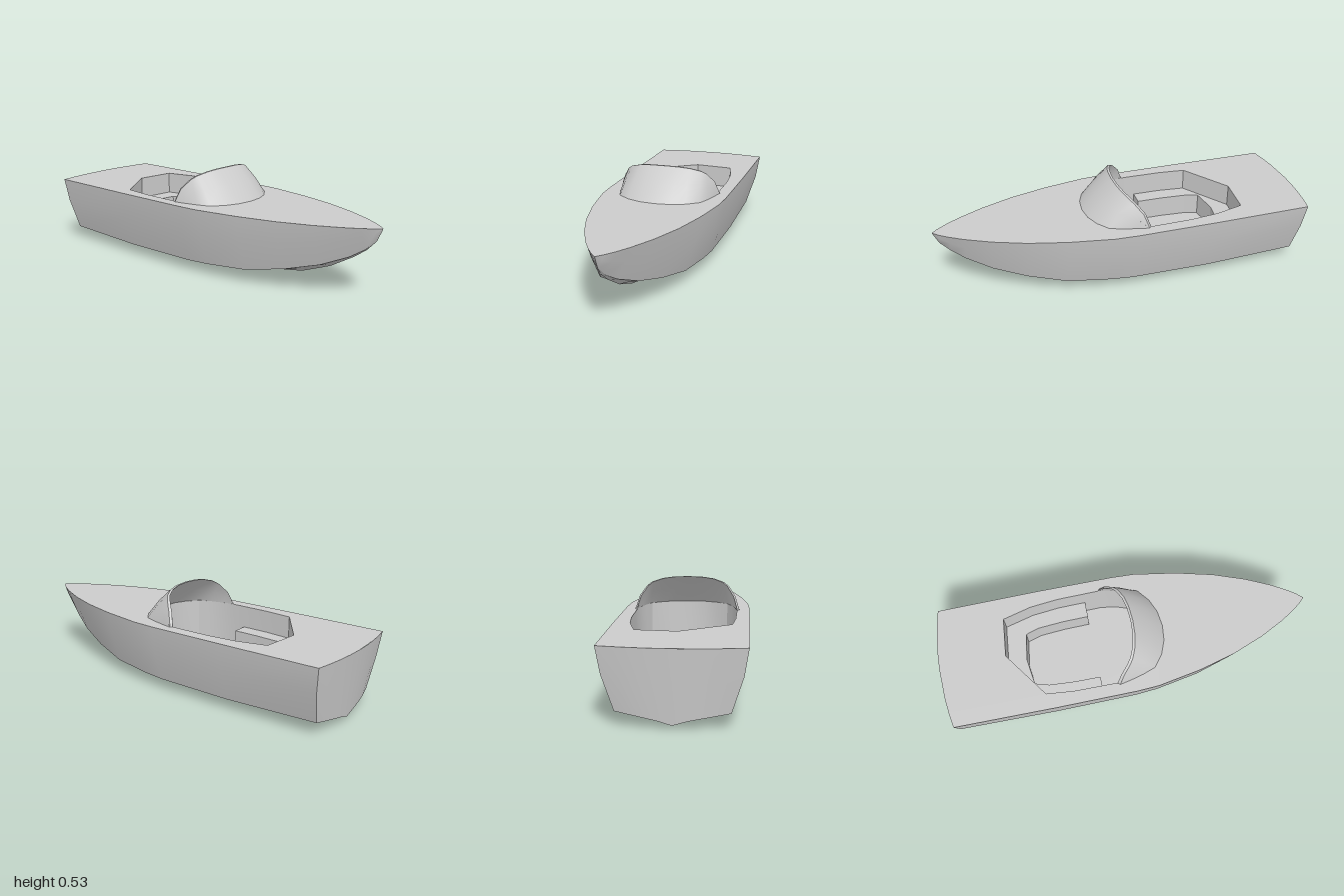
import * as THREE from 'three';
import { toCreasedNormals } from 'three/addons/utils/BufferGeometryUtils.js';

const DECK = 0.37, FLOOR = 0.13, SEAT = 0.25;
const solid = new THREE.MeshStandardMaterial({ color: 0xcccccc });
const thin = new THREE.MeshStandardMaterial({ color: 0xcccccc, side: THREE.DoubleSide });

// hull stations: z, deck half width, chine half width, chine height, keel height
const STATIONS = [
  [-0.96, 0.33, 0.257, 0.07, 0.018],
  [-0.43, 0.335, 0.266, 0.058, 0.0],
  [0, 0.334, 0.262, 0.06, 0.01],
  [0.12, 0.328, 0.25, 0.063, 0.014],
  [0.35, 0.288, 0.215, 0.075, 0.027],
  [0.55, 0.236, 0.157, 0.11, 0.06],
  [0.72, 0.172, 0.097, 0.155, 0.125],
  [0.85, 0.108, 0.042, 0.21, 0.2],
  [0.92, 0.066, 0.013, 0.255, 0.25],
  [0.97, 0.03, 0.003, 0.305, 0.302],
  [1.0, 0.002, 0.001, 0.367, 0.366],
];
const BOTTOM = [1, 0.75, 0.5, 0.25, 0, -0.25, -0.5, -0.75, -1];

// skin over rows of points
function loft(rows, crease = 0.6) {
  const n = rows[0].length, index = [];
  for (let r = 0; r < rows.length - 1; r++) {
    for (let c = 0; c < n - 1; c++) {
      const a = r * n + c, b = a + n;
      index.push(a, b, b + 1, a, b + 1, a + 1);
    }
  }
  const g = new THREE.BufferGeometry();
  g.setAttribute('position', new THREE.Float32BufferAttribute(rows.flat(2), 3));
  g.setIndex(index);
  return toCreasedNormals(g, crease);
}

function part(name, geometry, material = solid) {
  const mesh = new THREE.Mesh(geometry, material);
  mesh.name = name;
  return mesh;
}

// raked, bowed stern surface
const sternZ = (u, y) => -0.932 - 0.035 * (y - 0.06) / 0.31 - 0.033 * (1 - u * u);

// one point across a station: u from -1 to 1, level 0 deck, 1 mid side, 2 bottom
function hullPoint([z, wide, chine, chineY, keelY], u, level) {
  let x = wide, y = DECK;
  if (level === 1) {
    x = chine + (wide - chine) * 0.57 + 0.035 * wide;
    y = chineY + (DECK - chineY) * 0.57;
  } else if (level === 2) {
    x = chine;
    y = keelY + (chineY - keelY) * Math.abs(u) ** 0.7;
  }
  return [x * u, y, z < -0.9 ? sternZ(u, y) : z];
}

// half outline (x, z) mirrored into a full one, starting and ending on the centre line
const mirror = (half) => [...half, ...half.slice(1).reverse().map(([x, ...rest]) => [-x, ...rest])];

const flatShape = (pts) => new THREE.Shape(pts.map(([x, z]) => new THREE.Vector2(x, -z)));

function flat(shape, y) {
  return new THREE.ShapeGeometry(shape).rotateX(-Math.PI / 2).translate(0, y, 0);
}

export function createModel() {
  const boat = new THREE.Group();
  boat.name = 'motorboat';

  // hull sides and bottom
  boat.add(part('hull', loft(STATIONS.map((s) => [
    hullPoint(s, 1, 0), hullPoint(s, 1, 1),
    ...BOTTOM.map((u) => hullPoint(s, u, 2)),
    hullPoint(s, -1, 1), hullPoint(s, -1, 0),
  ]))));

  // transom
  boat.add(part('transom', loft([0, 1, 2].map((level) =>
    BOTTOM.map((u) => hullPoint(STATIONS[0], u, level))))));

  // cockpit opening: aft section shared with the bench, then the curved front
  const aft = [[0, -0.645], [0.21, -0.625], [0.25, -0.47], [0.265, -0.32], [0.267, -0.17]];
  const opening = mirror([...aft, [0.268, -0.08], [0.255, 0], [0.238, 0.05], [0.212, 0.11],
    [0.15, 0.158], [0.085, 0.186], [0, 0.195]]);
  opening.pop();

  // flat deck with the cockpit cut out
  const sternEdge = [0, 0.25, 0.5, 0.75].map((u) => {
    const p = hullPoint(STATIONS[0], u, 0);
    return [p[0], p[2]];
  });
  const rim = STATIONS.map((s) => {
    const p = hullPoint(s, 1, 0);
    return [p[0], p[2]];
  });
  const outline = mirror([...sternEdge, ...rim]);
  outline.pop();
  const deck = flatShape(outline);
  deck.holes.push(new THREE.Path(opening.map(([x, z]) => new THREE.Vector2(x, -z))));
  boat.add(part('deck', flat(deck, DECK)));

  // cockpit walls and floor
  const loop = [...opening, opening[0]];
  boat.add(part('cockpitWalls',
    loft([DECK, FLOOR].map((y) => loop.map(([x, z]) => [x, y, z])), 0.5), thin));
  boat.add(part('cockpitFloor', flat(flatShape(opening), FLOOR)));

  // U-shaped bench along the sides and back
  const inner = [[0, -0.545], [0.145, -0.525], [0.168, -0.45], [0.178, -0.31], [0.18, -0.17]];
  const side = (pts, s) => pts.map(([x, z]) => [x * s, z]);
  const uShape = [
    ...side(aft, -1).reverse(), ...aft.slice(1),
    ...[...inner].reverse(), ...side(inner.slice(1), -1),
  ];
  const bench = new THREE.ExtrudeGeometry(flatShape(uShape), { depth: SEAT - FLOOR, bevelEnabled: false });
  boat.add(part('bench', bench.rotateX(-Math.PI / 2).translate(0, FLOOR, 0)));

  // wraparound windshield: thin shell leaning back from its base to its rim
  const foot = [[0, 0.21], [0.085, 0.2], [0.16, 0.17], [0.225, 0.12], [0.25, 0.05], [0.268, -0.02], [0.28, -0.08]];
  const top = [[0, 0.533, 0.045], [0.08, 0.531, 0.04], [0.14, 0.524, 0.028], [0.195, 0.508, 0.005],
    [0.222, 0.49, -0.015], [0.258, 0.44, -0.055], [0.28, DECK, -0.08]];
  const sweep = (half) => [
    ...[...half].reverse().map(([x, y, z]) => [-x, y, z]), ...half.slice(1)];
  const inset = (row) => row.map(([x, y, z]) => [x * 0.965, y, z - 0.012]);
  const base = sweep(foot.map(([x, z]) => [x, DECK, z]));
  const rimTop = sweep(top);
  // slightly bulged middle row
  const middle = base.map((p, i) => [
    (p[0] + rimTop[i][0]) / 2 * 1.005, (p[1] + rimTop[i][1]) / 2 + (rimTop[i][1] - DECK) * 0.03,
    (p[2] + rimTop[i][2]) / 2 + (rimTop[i][1] - DECK) * 0.03]);
  boat.add(part('windshield',
    loft([base, middle, rimTop, inset(rimTop), inset(middle), inset(base)], 0.7), thin));

  return boat;
}
